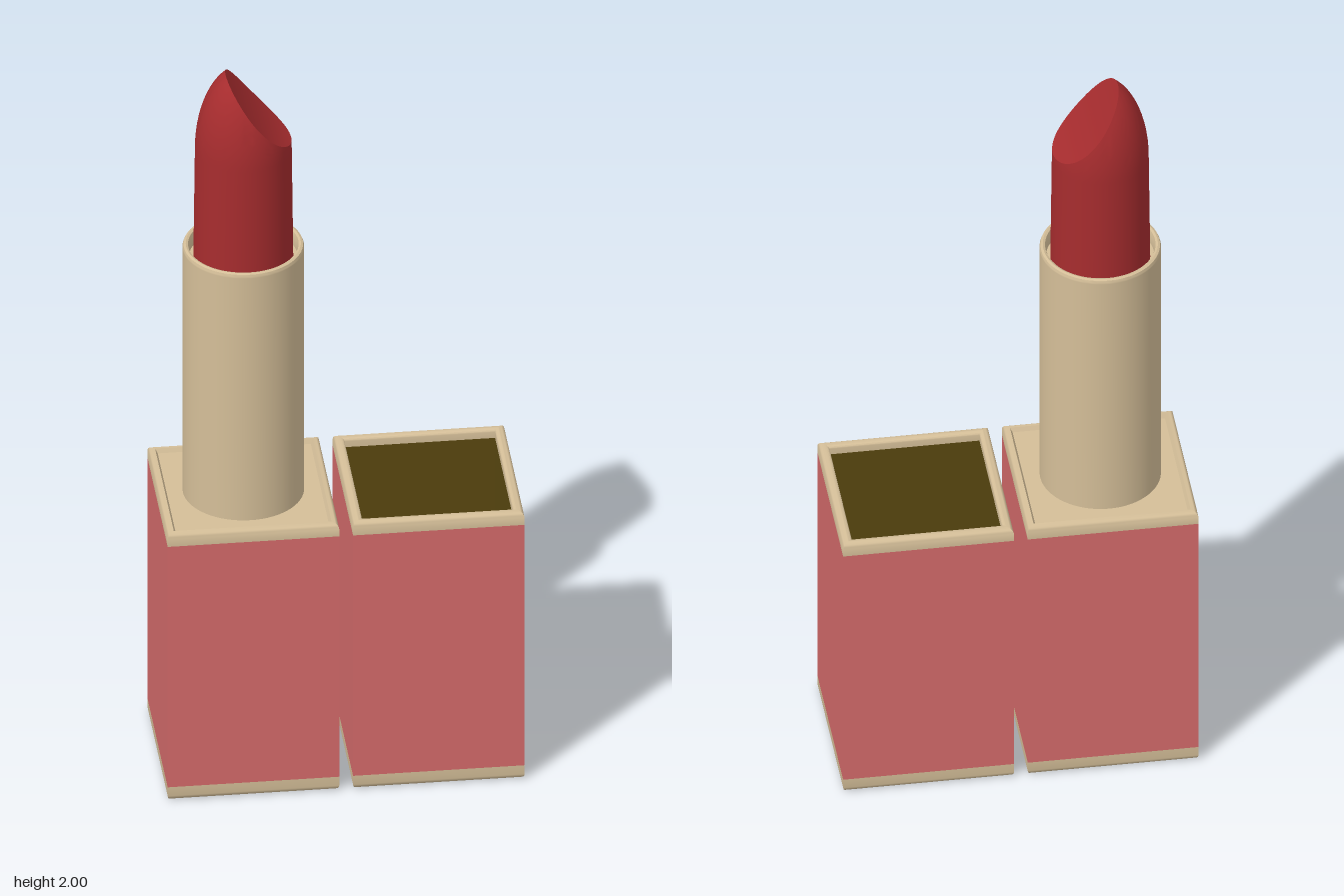
import * as THREE from 'three';
import { toCreasedNormals } from 'three/addons/utils/BufferGeometryUtils.js';

const mat = (name, color) => {
  const m = new THREE.MeshStandardMaterial({ color });
  m.name = name;
  return m;
};

const HALF = 0.2175; // half width of both square cases
const TOP = 0.785;

// Quarter-round points around (cx, cy), from angle a to angle b in degrees
function arc(cx, cy, r, a, b, n = 4) {
  return Array.from({ length: n + 1 }, (_, i) => {
    const t = THREE.MathUtils.degToRad(a + ((b - a) * i) / n);
    return [cx + r * Math.cos(t), cy + r * Math.sin(t)];
  });
}

// Square solid from a profile of [half width, y]
function square(profile) {
  const pts = profile.map(([h, y]) => new THREE.Vector2(h * Math.SQRT2, y));
  return toCreasedNormals(new THREE.LatheGeometry(pts, 4, Math.PI / 4), 0.6);
}

function round(profile) {
  const pts = profile.map(([r, y]) => new THREE.Vector2(r, y));
  return toCreasedNormals(new THREE.LatheGeometry(pts, 64), 0.6);
}

// Slanted bullet: domed sides trimmed by a concave cut, closed by the cut face
function bulletGeometry() {
  const N = 72, SIDE = 12, FACE = 10;
  const cut = (x) => 2 - 1.5 * (x + 0.045) + 3.66 * (x + 0.045) * (x - 0.035);
  const dome = (a) => [0.122 * Math.cos(a), 1.78 + 0.237 * Math.sin(a)];
  const pos = [], index = [];
  const rows = SIDE + FACE + 2;
  for (let j = 0; j < N; j++) {
    const c = Math.cos((j / N) * Math.PI * 2), s = Math.sin((j / N) * Math.PI * 2);
    // angle at which the dome meets the cut
    let lo = 0, hi = Math.PI / 2;
    for (let k = 0; k < 40; k++) {
      const mid = (lo + hi) / 2, [r, y] = dome(mid);
      if (y < cut(r * c)) lo = mid; else hi = mid;
    }
    pos.push(0.126 * c, 1.45, 0.126 * s);
    for (let i = 0; i <= SIDE; i++) {
      const [r, y] = dome((lo * i) / SIDE);
      pos.push(r * c, y, r * s);
    }
    const edge = dome(lo)[0];
    for (let i = 1; i <= FACE; i++) {
      const r = edge * (1 - i / FACE);
      pos.push(r * c, cut(r * c), r * s);
    }
  }
  for (let j = 0; j < N; j++) {
    const a = j * rows, b = ((j + 1) % N) * rows;
    for (let i = 0; i < rows - 1; i++) {
      index.push(a + i, a + i + 1, b + i);
      if (i < rows - 2) index.push(a + i + 1, b + i + 1, b + i);
    }
  }
  const g = new THREE.BufferGeometry();
  g.setAttribute('position', new THREE.Float32BufferAttribute(pos, 3));
  g.setIndex(index);
  return toCreasedNormals(g, 0.5);
}

export function createModel() {
  const gold = mat('champagne gold', 0xd4be98);
  const pink = mat('rose pink', 0xd36a6a);
  const red = mat('lipstick red', 0xa62c2e);
  const olive = mat('dark olive lining', 0x5a4810);

  const add = (parent, name, geometry, material) => {
    const mesh = new THREE.Mesh(geometry, material);
    mesh.name = name;
    parent.add(mesh);
  };

  // Shared case parts: bottom trim with a recessed underside, and pink sleeve
  const makeCase = (name, x) => {
    const g = new THREE.Group();
    g.name = name;
    g.position.x = x;
    add(g, 'bottomTrim', square([[0, 0.008], [0.195, 0.008], [0.199, 0],
      ...arc(HALF - 0.014, 0.014, 0.014, -90, 0), [HALF, 0.04]]), gold);
    add(g, 'sleeve', square([[HALF, 0.04], [HALF, 0.75]]), pink);
    return g;
  };
  const outerEdge = [[HALF, 0.75], ...arc(HALF - 0.014, TOP - 0.014, 0.014, 0, 90)];

  // Base with a shallow tray on top
  const base = makeCase('base', -0.235);
  add(base, 'topTrim', square([...outerEdge, [0.2, TOP], [0.194, 0.774], [0, 0.774]]), gold);

  // Round inner tube
  add(base, 'tube', round([[0.153, 0.77], [0.153, 1.488], ...arc(0.145, 1.492, 0.008, 0, 180),
    [0.137, 1.46], [0, 1.46]]), gold);
  add(base, 'lipstick', bulletGeometry(), red);

  // Open cap with a dark lining
  const cap = makeCase('cap', 0.235);
  add(cap, 'rim', square([...outerEdge, ...arc(0.199, TOP - 0.008, 0.008, 90, 180), [0.191, 0.76]]), gold);
  add(cap, 'lining', square([[0.191, 0.76], [0.191, 0.04], [0, 0.04]]), olive);

  const model = new THREE.Group();
  model.name = 'lipstickWithCap';
  model.add(base, cap);
  return model;
}
